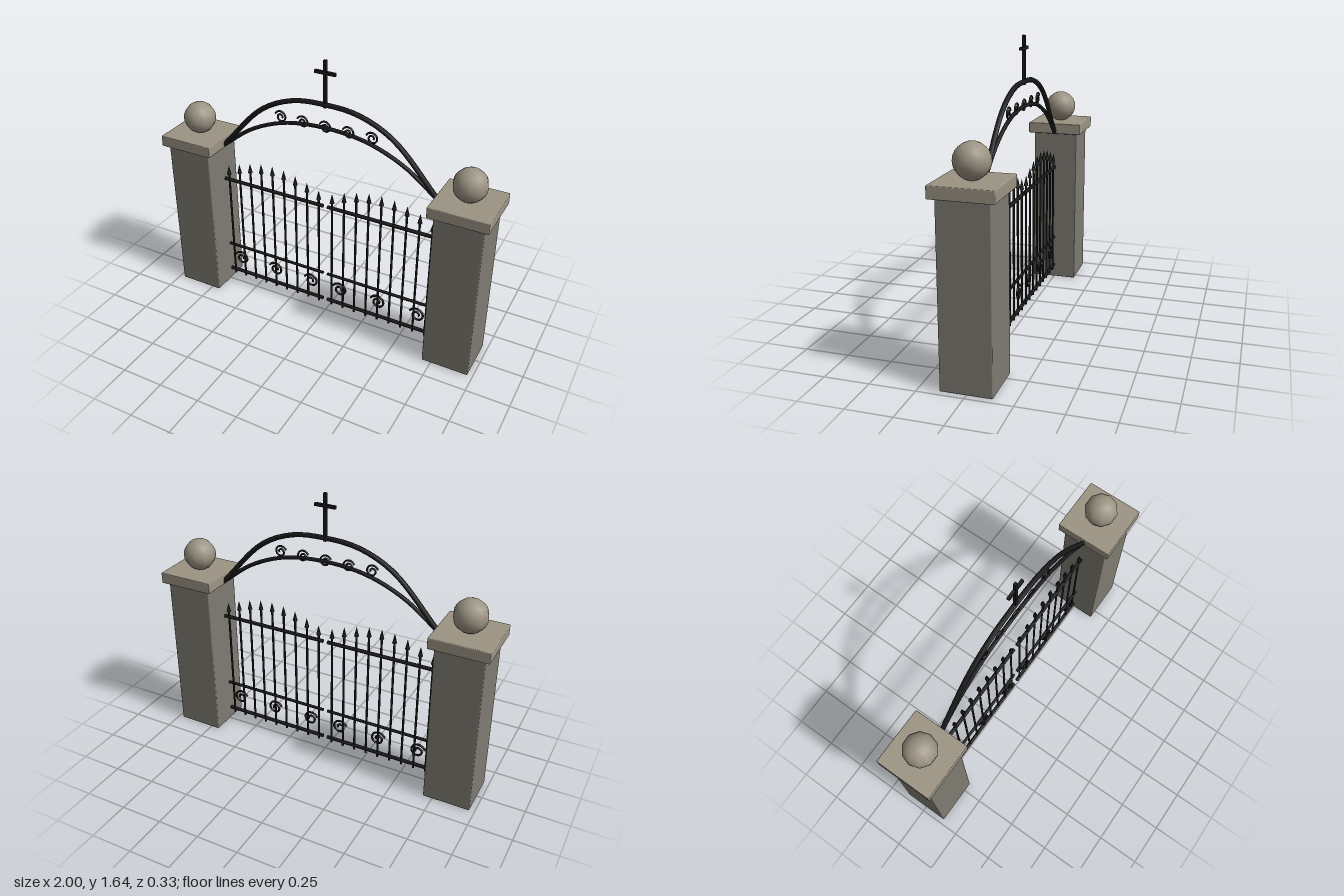
import * as THREE from 'three';
import { RoundedBoxGeometry } from 'three/addons/geometries/RoundedBoxGeometry.js';

const stone = new THREE.MeshStandardMaterial({ name: 'pillar stone', color: 0x7e7b72 });
const paleStone = new THREE.MeshStandardMaterial({ name: 'pale stone', color: 0x9c9484 });
const iron = new THREE.MeshStandardMaterial({ name: 'black iron', color: 0x1a1a1c });

function add(parent, name, geometry, material, x = 0, y = 0, z = 0) {
  const mesh = new THREE.Mesh(geometry, material);
  mesh.name = name;
  mesh.position.set(x, y, z);
  parent.add(mesh);
  return mesh;
}

function group(parent, name) {
  const g = new THREE.Group();
  g.name = name;
  parent.add(g);
  return g;
}

// Spiral rod, winding clockwise inward from its outer end on the left
function scrollGeometry(radius, rod) {
  const points = [];
  for (let i = 0; i <= 20; i++) {
    const t = i / 20;
    const a = 2.75 - t * Math.PI * 3;
    const r = radius * (1 - 0.75 * t);
    points.push(new THREE.Vector3(r * Math.cos(a), r * Math.sin(a), 0));
  }
  return new THREE.TubeGeometry(new THREE.CatmullRomCurve3(points), 40, rod, 6);
}

// Symmetrical arch through the given left-half points
function archGeometry(half, rod) {
  const mirrored = half.slice(0, -1).reverse().map(([x, y]) => [-x, y]);
  const points = [...half, ...mirrored].map(([x, y]) => new THREE.Vector3(x, y, 0));
  return new THREE.TubeGeometry(new THREE.CatmullRomCurve3(points), 32, rod, 8);
}

export function createModel() {
  const model = new THREE.Group();
  model.name = 'gateway';

  // Stone pillars with caps and ball finials
  for (const side of [-1, 1]) {
    const pillar = group(model, side < 0 ? 'rightPillar' : 'leftPillar');
    pillar.position.x = side * 0.833;
    add(pillar, 'shaft', new RoundedBoxGeometry(0.275, 0.98, 0.275, 1, 0.006), stone, 0, 0.49);
    add(pillar, 'cap', new RoundedBoxGeometry(0.334, 0.066, 0.334, 1, 0.005), paleStone, 0, 1.008);
    add(pillar, 'ball', new THREE.SphereGeometry(0.094, 10, 12), paleStone, 0, 1.13);
  }

  // Gate leaves
  const spikeGeo = new THREE.ConeGeometry(0.014, 0.06, 6);
  const leafScroll = scrollGeometry(0.048, 0.0065);
  for (const side of [-1, 1]) {
    const leaf = group(model, side < 0 ? 'rightLeaf' : 'leftLeaf');
    leaf.position.x = side * 0.348;

    for (const [y, r] of [[0.088, 0.011], [0.28, 0.009], [0.755, 0.011]]) {
      add(leaf, 'rail', new THREE.CylinderGeometry(r, r, 0.668, 8), iron, 0, y).rotation.z = Math.PI / 2;
    }

    // Bars rise towards the middle of each leaf
    for (let i = 0; i < 9; i++) {
      const t = i / 8;
      const x = (t - 0.5) * 0.61;
      const tip = 0.85 + 0.075 * Math.sin(Math.PI * t);
      const length = tip - 0.04 - 0.06;
      add(leaf, 'bar', new THREE.CylinderGeometry(0.0065, 0.0065, length, 6), iron, x, 0.06 + length / 2);
      add(leaf, 'spike', spikeGeo, iron, x, tip - 0.03);
    }

    for (const x of [-0.25, 0, 0.25]) add(leaf, 'leafScroll', leafScroll, iron, x, 0.19);
  }

  // Overhead arch with scrolls
  const arch = group(model, 'arch');
  add(arch, 'outerArch', archGeometry([[-0.675, 0.985], [-0.4, 1.278], [-0.2, 1.373], [0, 1.392]], 0.0145), iron);
  add(arch, 'innerArch', archGeometry([[-0.675, 0.985], [-0.47, 1.138], [-0.25, 1.228], [0, 1.255]], 0.0115), iron);
  const archScroll = scrollGeometry(0.037, 0.0055);
  for (let i = -2; i <= 2; i++) add(arch, 'archScroll', archScroll, iron, i * 0.139, 1.258);

  // Cross on the crown
  const cross = group(model, 'cross');
  add(cross, 'upright', new THREE.BoxGeometry(0.017, 0.27, 0.017), iron, 0, 1.51);
  add(cross, 'crossbar', new THREE.BoxGeometry(0.124, 0.017, 0.017), iron, 0, 1.574);

  return model;
}
